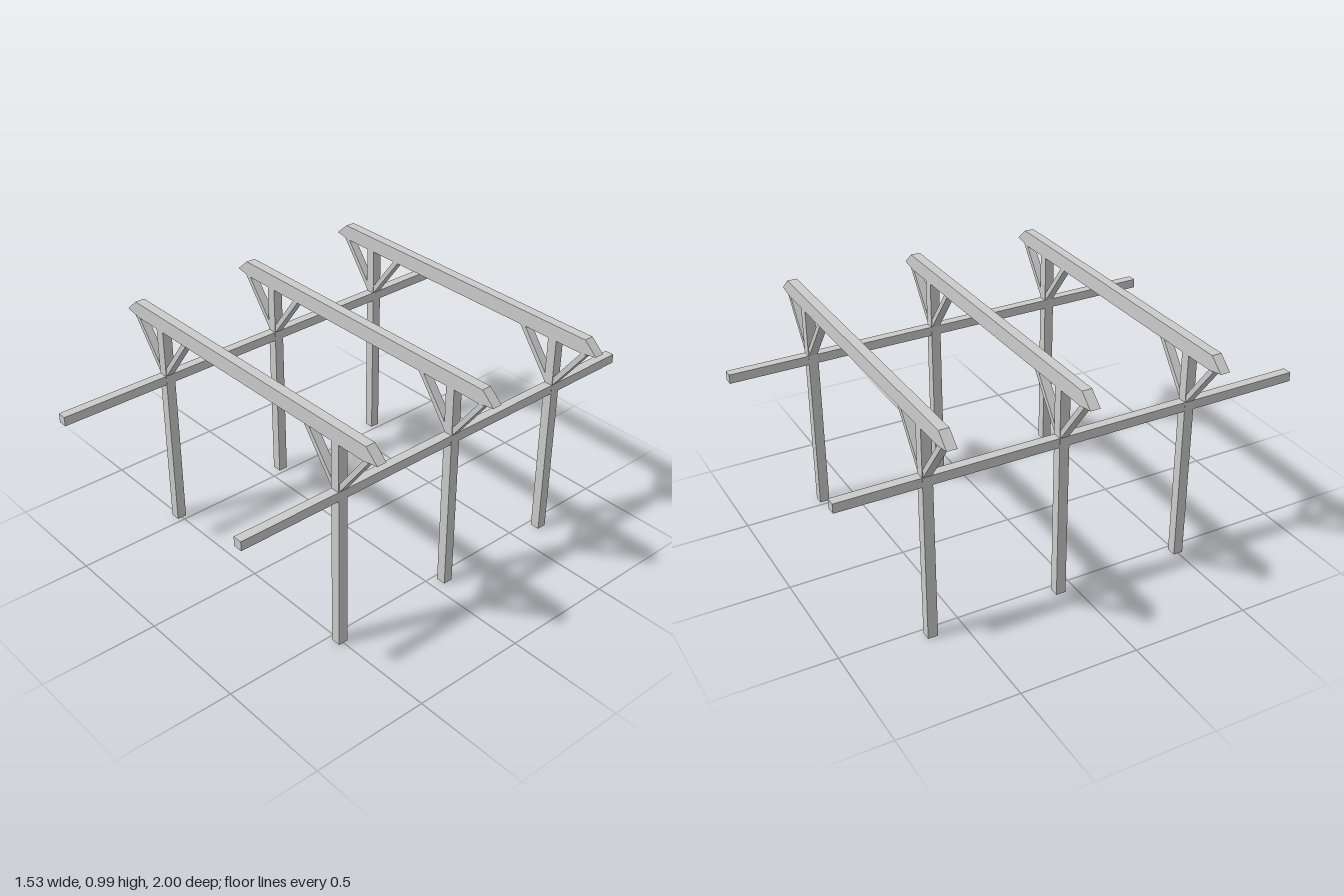
import * as THREE from 'three';

const material = new THREE.MeshStandardMaterial({ color: 0xcccccc, flatShading: true });
const POST_X = 0.54, TIMBER = 0.042, BEAM_BOTTOM = 0.927;

function box(name, w, h, d, x, y, z) {
  const mesh = new THREE.Mesh(new THREE.BoxGeometry(w, h, d), material);
  mesh.name = name;
  mesh.position.set(x, y, z);
  return mesh;
}

// Outline in the xy plane, extruded evenly about z = 0
function slab(name, points, depth) {
  const shape = new THREE.Shape(points.map(([x, y]) => new THREE.Vector2(x, y)));
  const geometry = new THREE.ExtrudeGeometry(shape, { depth, bevelEnabled: false });
  geometry.translate(0, 0, -depth / 2);
  const mesh = new THREE.Mesh(geometry, material);
  mesh.name = name;
  return mesh;
}

// One portal: two posts, a beam with pointed ends and four diagonal braces
function createFrame() {
  const frame = new THREE.Group();
  frame.name = 'frame';

  frame.add(slab('crossBeam', [
    [-0.69, BEAM_BOTTOM], [0.69, BEAM_BOTTOM], [0.764, 0.94],
    [0.704, 0.993], [-0.704, 0.993], [-0.764, 0.94],
  ], TIMBER));

  for (const side of [-1, 1]) {
    const x = side * POST_X;
    frame.add(box('post', TIMBER, BEAM_BOTTOM, TIMBER, x, BEAM_BOTTOM / 2, 0));
    for (const dir of [-1, 1]) {
      frame.add(slab('brace', [
        [0.02, 0.722], [0.175, BEAM_BOTTOM], [0.148, BEAM_BOTTOM], [0.02, 0.758],
      ].map(([d, y]) => [x + dir * d, y]), 0.036));
    }
  }
  return frame;
}

export function createModel() {
  const model = new THREE.Group();
  model.name = 'pergola';

  for (const z of [-0.636, -0.068, 0.5]) {
    const frame = createFrame();
    frame.position.z = z;
    model.add(frame);
  }

  // Long side rails; the left one stops slightly short at the front
  model.add(box('rightRail', 0.04, 0.04, 2, -POST_X, 0.703, 0));
  model.add(box('leftRail', 0.04, 0.04, 1.96, POST_X, 0.703, -0.02));
  return model;
}
